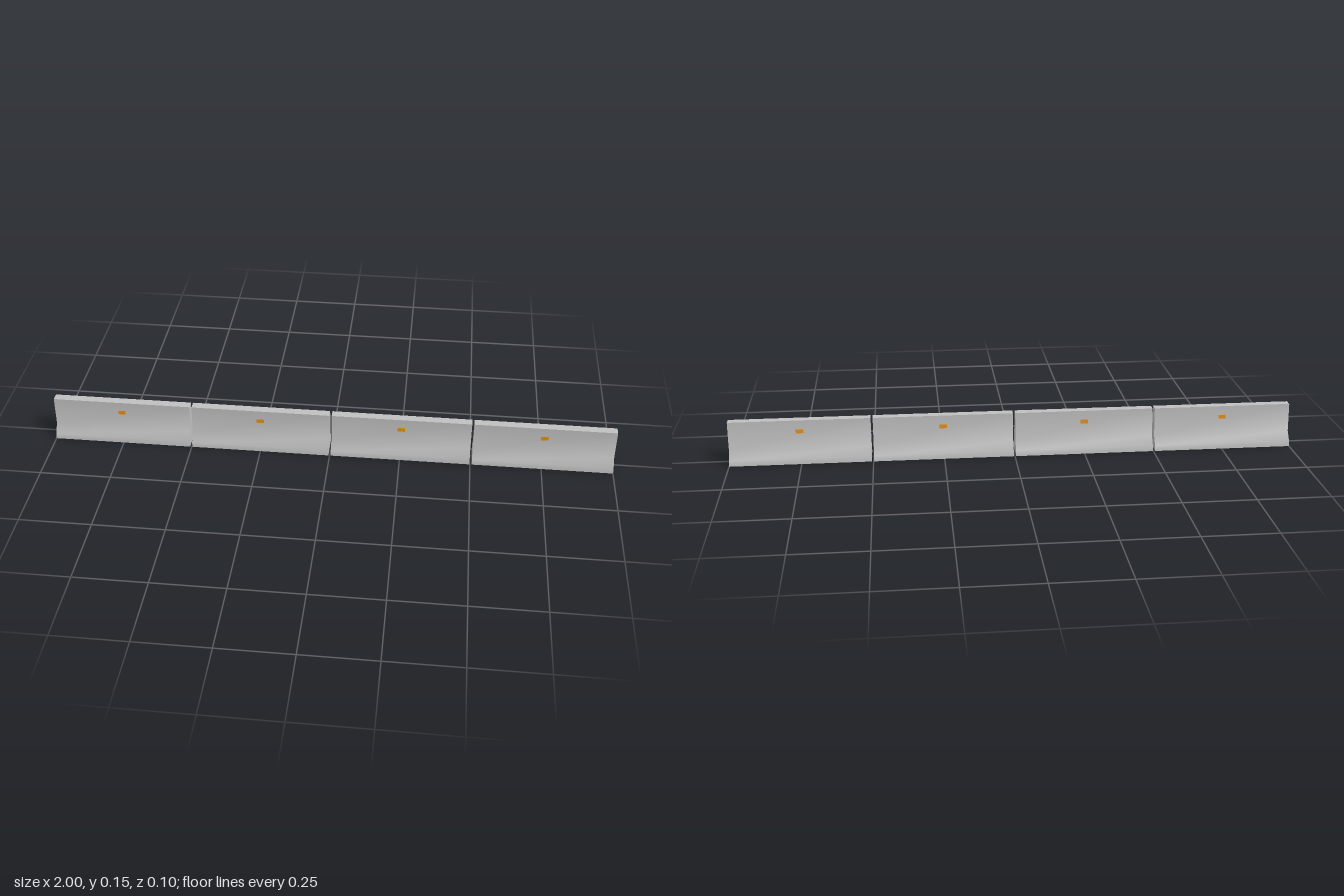
import * as THREE from 'three';
import { toCreasedNormals } from 'three/addons/utils/BufferGeometryUtils.js';

const LENGTH = 0.494; // one barrier segment
const PITCH = 0.502; // segment length plus joint gap

export function createModel() {
  const concrete = new THREE.MeshStandardMaterial({ color: 0xbfbfbf });
  concrete.name = 'concrete grey';
  const amber = new THREE.MeshStandardMaterial({ color: 0xe8921a });
  amber.name = 'reflector amber';

  // Half cross-section [z, y]: foot, toe, sloped shoulder, narrow top
  const half = [[0.05, 0], [0.047, 0.019], [0.0225, 0.05], [0.0145, 0.15]];
  const outline = [...half, ...half.map(([z, y]) => [-z, y]).reverse()];
  const profile = new THREE.Shape(outline.map(([z, y]) => new THREE.Vector2(z, y)));

  // Extruded along x, smooth down each flank and sharp at the top, base and ends
  const extrusion = new THREE.ExtrudeGeometry(profile, { depth: LENGTH, bevelEnabled: false });
  extrusion.translate(0, 0, -LENGTH / 2).rotateY(Math.PI / 2);
  const barrierGeometry = toCreasedNormals(extrusion, 0.75);
  const reflectorGeometry = new THREE.BoxGeometry(0.026, 0.014, 0.003);

  const model = new THREE.Group();
  model.name = 'roadBarrier';
  for (let i = 0; i < 4; i++) {
    const segment = new THREE.Group();
    segment.name = `barrierSegment${i + 1}`;
    segment.position.x = (i - 1.5) * PITCH;

    const body = new THREE.Mesh(barrierGeometry, concrete);
    body.name = 'concreteBody';
    segment.add(body);

    // One reflector on each face
    for (const side of [1, -1]) {
      const reflector = new THREE.Mesh(reflectorGeometry, amber);
      reflector.name = side > 0 ? 'frontReflector' : 'backReflector';
      reflector.position.set(0, 0.111, side * 0.0178);
      reflector.rotation.x = -side * 0.08;
      segment.add(reflector);
    }
    model.add(segment);
  }
  return model;
}
